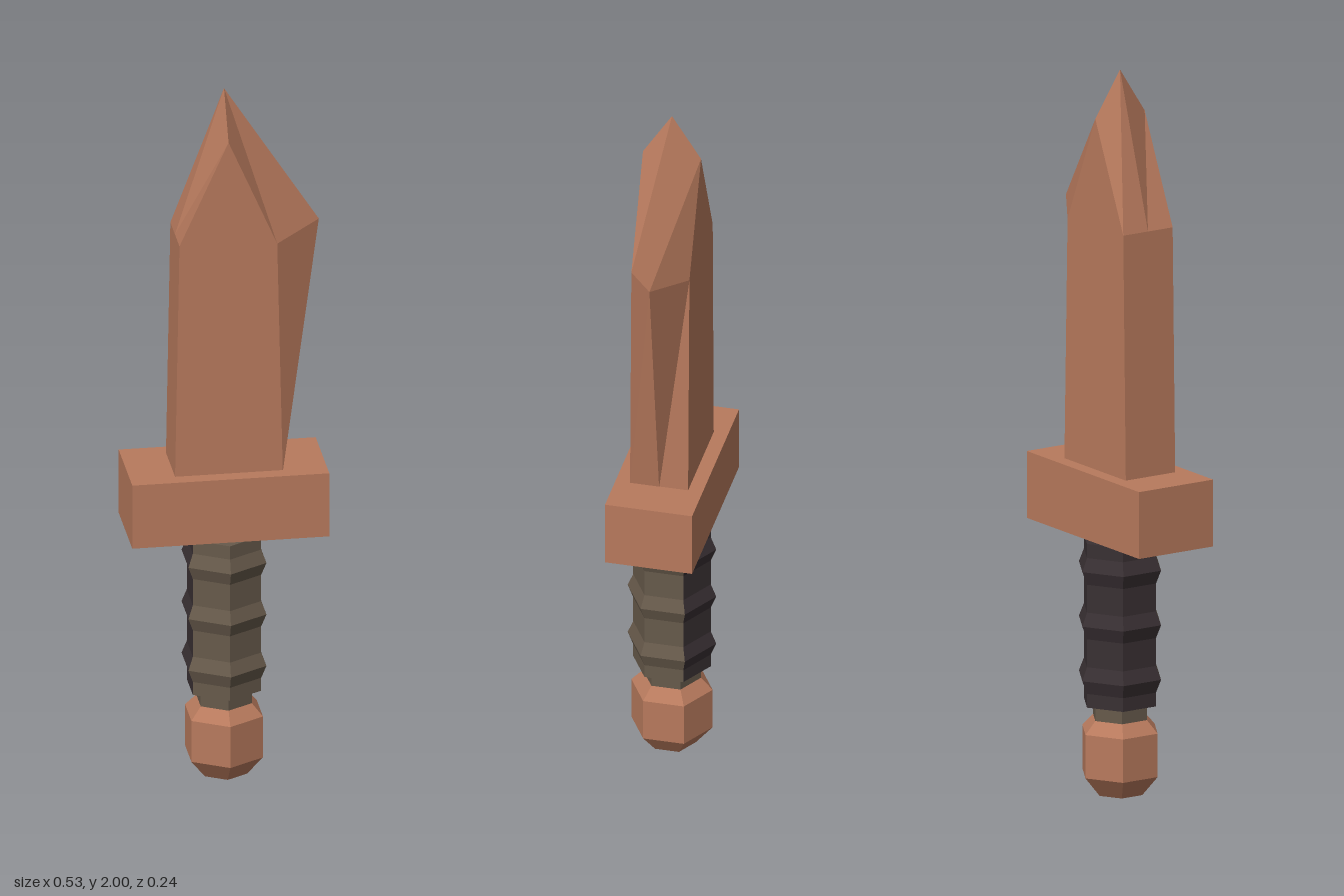
import * as THREE from 'three';

const flat = (name, color) => {
  const m = new THREE.MeshStandardMaterial({ color });
  m.name = name;
  m.flatShading = true;
  return m;
};

// Six-sided turned part; points are [radius, y] from bottom to top
const turned = (points, start = 0, sides = 6) => new THREE.LatheGeometry(
  points.map(([r, y]) => new THREE.Vector2(r, y)),
  sides, start * Math.PI / 3, sides * Math.PI / 3);

// Faceted solid from corner points and convex faces (counter-clockwise from outside)
function faceted(corners, faces) {
  const pos = [];
  for (const f of faces)
    for (let i = 1; i < f.length - 1; i++)
      for (const k of [f[0], f[i], f[i + 1]]) pos.push(...corners[k]);
  const g = new THREE.BufferGeometry();
  g.setAttribute('position', new THREE.Float32BufferAttribute(pos, 3));
  g.computeVertexNormals();
  return g;
}

export function createModel() {
  const copper = flat('copper', 0xb87a5d);
  const leather = flat('grip leather', 0x675a4b);
  const darkLeather = flat('dark grip leather', 0x393033);

  const group = new THREE.Group();
  group.name = 'dagger';
  const add = (name, geometry, material) => {
    const mesh = new THREE.Mesh(geometry, material);
    mesh.name = name;
    group.add(mesh);
    return mesh;
  };

  // Pommel
  add('pommel', turned([[0, 0], [0.066, 0], [0.112, 0.055], [0.112, 0.175], [0.08, 0.209], [0, 0.209]]), copper);

  // Core of the handle, showing above and below the wrap
  add('gripCore', turned([[0.08, 0.2], [0.08, 0.73]]), leather);

  // Ridged grip: light on the front half, dark on the back half
  const grip = [[0, 0.25], [0.107, 0.25]];
  for (const y of [0.325, 0.476, 0.627])
    grip.push([0.107, y - 0.037], [0.122, y], [0.107, y + 0.037]);
  grip.push([0.107, 0.703], [0, 0.703]);
  add('gripFront', turned(grip, -1, 3), leather);
  add('gripBack', turned(grip, 2, 3), darkLeather);

  // Crossguard
  add('guard', new THREE.BoxGeometry(0.534, 0.185, 0.24), copper).position.y = 0.8125;

  // Blade: blunt spine on one side, flaring ridge on the other
  const corners = {
    tip: [0, 2, 0],
    spine: [-0.133, 1.58, 0],
    ridge: [0.257, 1.6, 0],
    ridgeBase: [0.147, 0.9, 0],
  };
  for (const [s, z] of [['F', 0.08], ['B', -0.08]]) {
    corners['left' + s] = [-0.145, 0.9, z];
    corners['right' + s] = [0.147, 0.9, z];
    corners['shoulderR' + s] = [0.132, 1.57, z];
    corners['shoulderL' + s] = [-0.133, 1.58, z];
    corners['peak' + s] = [0, 1.875, z];
  }
  const faces = [
    ['leftB', 'leftF', 'shoulderLF', 'spine', 'shoulderLB'],
    ['leftB', 'rightB', 'rightF', 'leftF'],
  ];
  for (const s of ['F', 'B']) {
    const side = [
      ['left' + s, 'right' + s, 'shoulderR' + s, 'peak' + s, 'shoulderL' + s],
      ['right' + s, 'ridgeBase', 'ridge', 'shoulderR' + s],
      ['shoulderR' + s, 'ridge', 'tip', 'peak' + s],
      ['peak' + s, 'tip', 'spine', 'shoulderL' + s],
    ];
    faces.push(...side.map(f => (s === 'F' ? f : f.reverse())));
  }
  add('blade', faceted(corners, faces), copper);

  return group;
}
